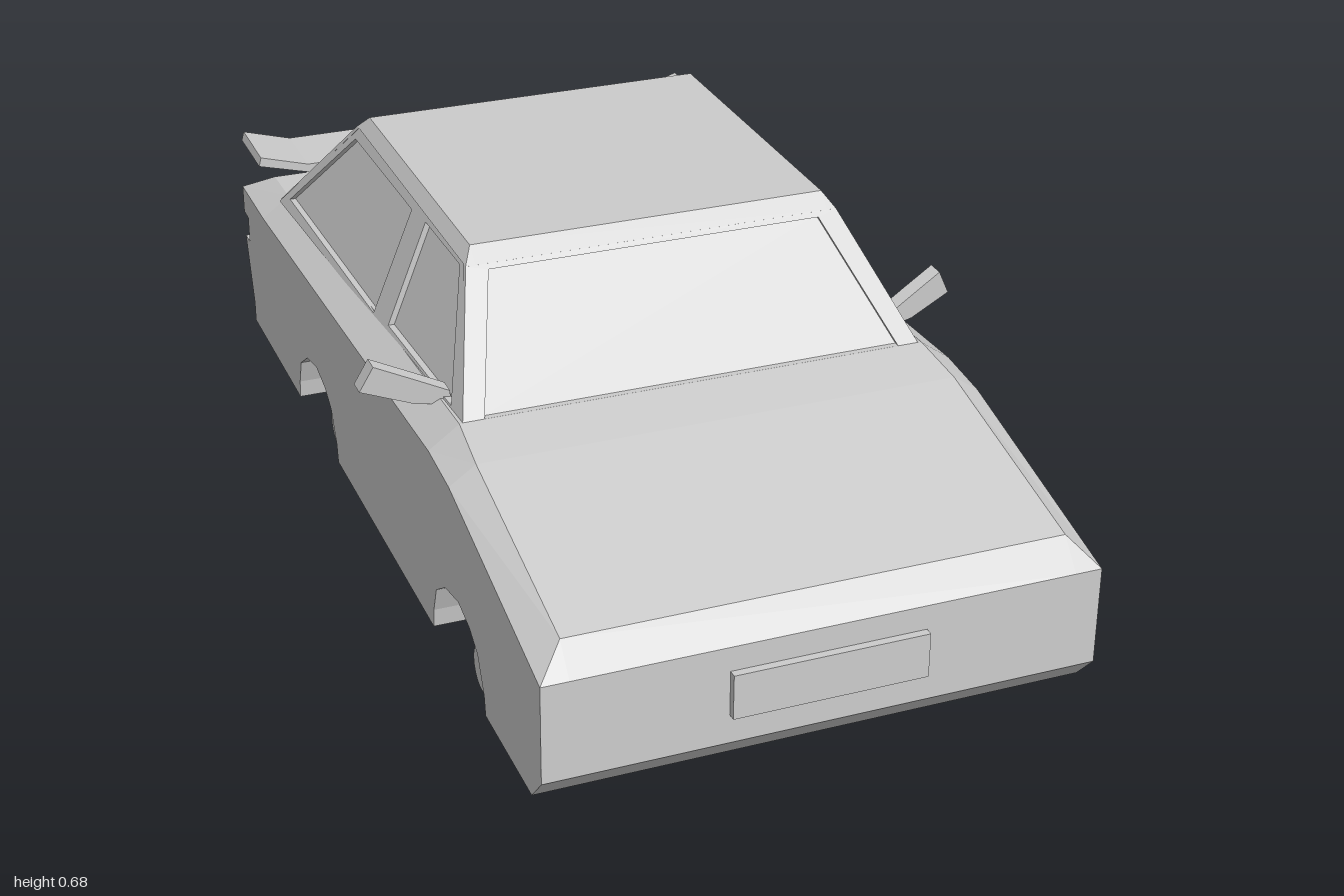
import * as THREE from 'three';

const mat = new THREE.MeshStandardMaterial({ color: 0xcccccc, flatShading: true, side: THREE.DoubleSide });
const toShape = pts => new THREE.Shape(pts.map(p => new THREE.Vector2(p[0], p[1])));

export function createModel() {
  const car = new THREE.Group();
  car.name = 'car';
  const add = (name, geo, parent = car) => {
    const mesh = new THREE.Mesh(geo, mat);
    mesh.name = name;
    parent.add(mesh);
    return mesh;
  };

  // Moves each vertex by a rule; flip reverses the triangles when the rule mirrors them
  const remap = (geo, rule, flip = false) => {
    const g = geo.index ? geo.toNonIndexed() : geo;
    const p = g.attributes.position;
    const v = [];
    for (let i = 0; i < p.count; i++) v.push(rule(p.getX(i), p.getY(i), p.getZ(i)));
    for (let i = 0; i < p.count; i += 3) {
      const tri = flip ? [v[i], v[i + 2], v[i + 1]] : [v[i], v[i + 1], v[i + 2]];
      tri.forEach((q, k) => p.setXYZ(i + k, ...q));
    }
    g.computeVertexNormals();
    return g;
  };

  // Side profile in (z, y) extruded over the width
  const acrossWidth = (pts, width, x = 0) => {
    const g = new THREE.ExtrudeGeometry(toShape(pts), { depth: width, bevelEnabled: false });
    return g.rotateY(-Math.PI / 2).translate(x + width / 2, 0, 0);
  };

  // Bevelled top surface; each station is [outer z, outer y, inner z, inner y, inner x]
  const bevelledTop = (stations, outerX) => {
    const pos = [], idx = [];
    stations.forEach(([zo, yo, zi, yi, xi], r) => {
      pos.push(-outerX, yo, zo, -xi, yi, zi, xi, yi, zi, outerX, yo, zo);
      if (r === 0) return;
      for (let j = 0; j < 3; j++) {
        const c = r * 4 + j, a = c - 4;
        idx.push(a, a + 1, c, a + 1, c + 1, c);
      }
    });
    const g = new THREE.BufferGeometry();
    g.setAttribute('position', new THREE.Float32BufferAttribute(pos, 3));
    g.setIndex(idx);
    g.computeVertexNormals();
    return g;
  };

  // Lower body with wheel arches cut right through
  const arch = [[-0.15, 0.045], [-0.145, 0.083], [-0.125, 0.137], [-0.07, 0.174], [0.008, 0.19],
    [0.07, 0.174], [0.112, 0.147], [0.144, 0.083], [0.15, 0.045]];
  const archAt = z => arch.map(([a, y]) => [a + z, y]);
  add('lowerBody', acrossWidth([
    [-0.94, 0.045], ...archAt(-0.402), ...archAt(0.544), [0.935, 0.045], [0.985, 0.1],
    [0.985, 0.287], [0.517, 0.4], [0.4, 0.41], [-0.8, 0.35], [-0.985, 0.35],
    [-0.985, 0.29], [-0.95, 0.29], [-0.95, 0.233], [-0.985, 0.233], [-0.94, 0.09],
  ], 1.01));

  // Hood, shoulders and rear deck
  add('hoodAndDeck', bevelledTop([
    [0.985, 0.287, 0.985, 0.287, 0.455],
    [0.985, 0.287, 0.94, 0.34, 0.455],
    [0.517, 0.4, 0.517, 0.435, 0.455],
    [0.4, 0.41, 0.4, 0.452, 0.447],
    [-0.8, 0.35, -0.8, 0.393, 0.447],
    [-0.985, 0.35, -0.92, 0.39, 0.447],
    [-0.985, 0.35, -0.985, 0.35, 0.447],
  ], 0.505));

  // Roof with a narrow chamfer
  add('roof', bevelledTop([
    [0.19, 0.648, 0.19, 0.648, 0.345],
    [0.19, 0.648, 0.16, 0.675, 0.345],
    [-0.52, 0.648, -0.49, 0.675, 0.345],
    [-0.52, 0.648, -0.52, 0.648, 0.345],
  ], 0.363));

  // Cabin walls: a framed panel with openings and recessed glass
  const inset = 0.012;
  const wall = (name, outline, windows, rule, flip) => {
    const group = new THREE.Group();
    group.name = name;
    car.add(group);
    const frame = toShape(outline);
    windows.forEach(w => frame.holes.push(toShape(w)));
    add('frame', remap(new THREE.ExtrudeGeometry(frame, { depth: inset, bevelEnabled: false }), rule, flip), group);
    windows.forEach(w => add('glass', remap(new THREE.ShapeGeometry(toShape(w)), rule, flip), group));
  };
  const trapezoid = (x0, y0, x1, y1) => [[-x0, y0], [x0, y0], [x1, y1], [-x1, y1]];
  wall('windshield', trapezoid(0.443, 0.445, 0.363, 0.648), [trapezoid(0.4, 0.452, 0.323, 0.64)],
    (x, y, d) => [x, y, 0.4 - (y - 0.45) * 1.06 + d - inset], false);
  wall('rearWindow', trapezoid(0.463, 0.39, 0.363, 0.648), [trapezoid(0.41, 0.405, 0.325, 0.625)],
    (x, y, d) => [x, y, -0.8 + (y - 0.39) * 1.085 - d + inset], true);
  for (const s of [1, -1]) {
    wall(s > 0 ? 'leftCabinSide' : 'rightCabinSide',
      [[0.4, 0.445], [0.19, 0.648], [-0.52, 0.648], [-0.8, 0.385]],
      [[[0.33, 0.452], [0.16, 0.64], [-0.045, 0.637], [-0.045, 0.437]],
        [[-0.125, 0.63], [-0.51, 0.625], [-0.745, 0.41], [-0.13, 0.425]]],
      (z, y, d) => [s * (0.445 - (y - 0.44) * 0.4 + d - inset), y, z], s > 0);

    // Door mirror, swept back toward its tip
    const mirror = toShape([[0.43, 0.435], [0.49, 0.436], [0.582, 0.46], [0.557, 0.51], [0.49, 0.485], [0.43, 0.462]]);
    add(s > 0 ? 'leftMirror' : 'rightMirror',
      remap(new THREE.ExtrudeGeometry(mirror, { depth: 0.035, bevelEnabled: false }),
        (x, y, d) => [s * x, y, 0.255 - (x - 0.44) * 0.35 + d], s < 0));

    // Wing post
    add('wingPost', new THREE.BoxGeometry(0.02, 0.07, 0.13)).position.set(s * 0.17, 0.415, -0.875);
  }

  // Rear wing with upturned tips
  const wing = toShape([[-0.505, 0.468], [-0.4, 0.44], [0.4, 0.44], [0.505, 0.468],
    [0.5, 0.487], [0.4, 0.458], [-0.4, 0.458], [-0.5, 0.487]]);
  add('rearWing', new THREE.ExtrudeGeometry(wing, { depth: 0.155, bevelEnabled: false }).translate(0, 0, -0.96));

  // Blank plates
  add('frontPlate', new THREE.BoxGeometry(0.355, 0.085, 0.02)).position.set(0, 0.198, 0.99);
  add('rearPlate', acrossWidth([[-0.95, 0.155], [-0.985, 0.24], [-1, 0.235], [-0.973, 0.155]], 0.355));

  // Floor pan and axles
  add('floorPan', new THREE.BoxGeometry(0.83, 0.025, 1.37)).position.set(0, 0.034, 0.085);
  for (const z of [0.554, -0.4]) {
    add(z > 0 ? 'frontAxle' : 'rearAxle', new THREE.CylinderGeometry(0.043, 0.043, 0.943, 20).rotateZ(Math.PI / 2))
      .position.set(0.004, 0.043, z);
  }
  return car;
}
